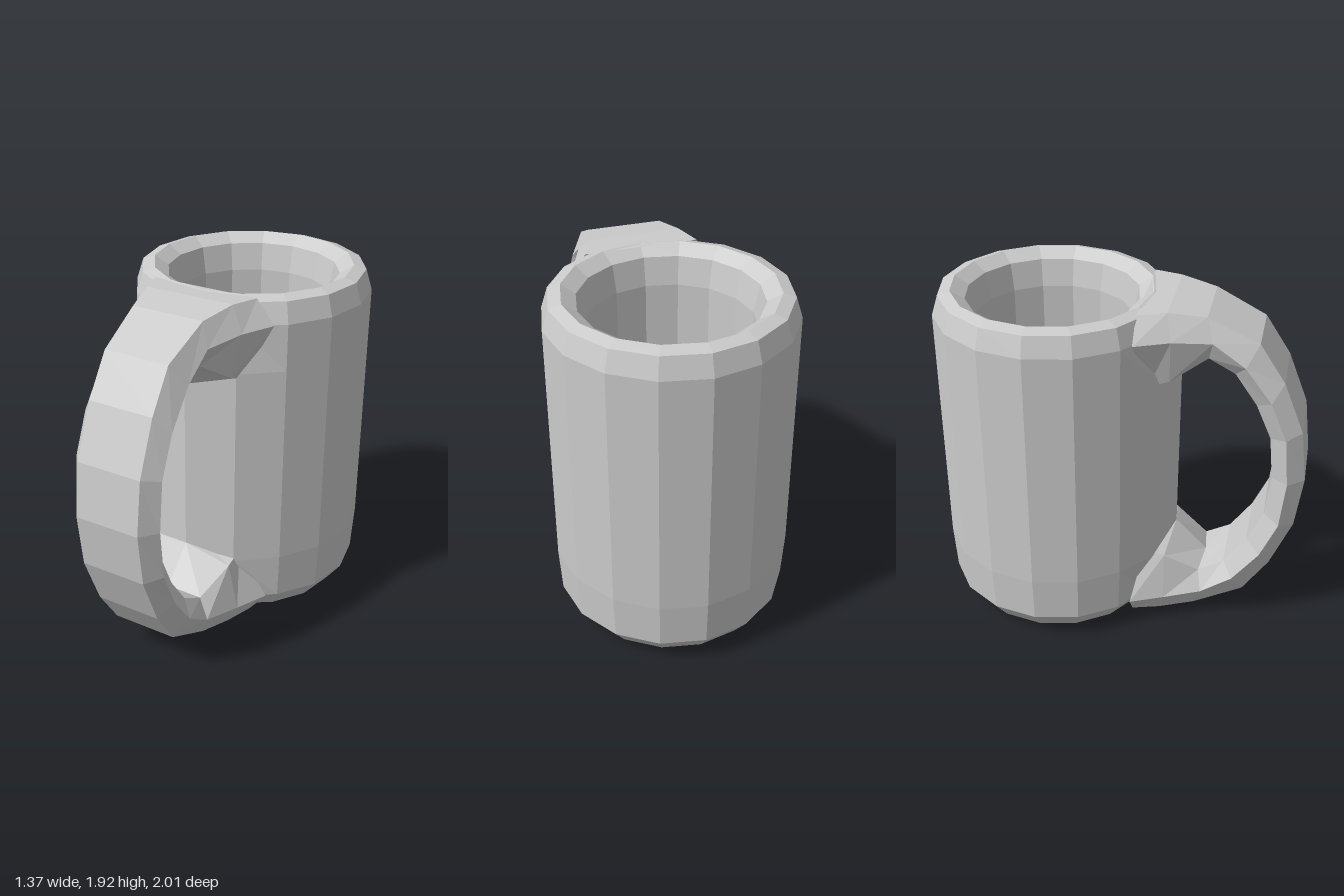
import * as THREE from 'three';

const SIDES = 16;
const STEP = (Math.PI * 2) / SIDES;
const MID_Y = 0.98; // height about which the handle is mirrored

const material = () => new THREE.MeshStandardMaterial({ color: 0xcccccc, flatShading: true, side: THREE.DoubleSide });

// Cup: underside, outer wall, rim, inner wall and rounded floor in one profile
function createCup() {
  const profile = [
    [0, 0], [0.3, 0.012], [0.54, 0.045], [0.625, 0.16], [0.64, 0.42], [0.64, MID_Y], [0.64, 1.54],
    [0.64, 1.79], [0.605, 1.9], [0.54, 1.92], [0.465, 1.87], [0.435, 1.72],
    [0.435, 0.5], [0.37, 0.3], [0.22, 0.2], [0, 0.16],
  ].map(([r, y]) => new THREE.Vector2(r, y));
  const geometry = new THREE.LatheGeometry(profile, SIDES);

  // Slight bulge of the outer wall behind the handle
  const pos = geometry.attributes.position;
  for (let i = 0; i < pos.count; i++) {
    const x = pos.getX(i), y = pos.getY(i), z = pos.getZ(i);
    const r = Math.hypot(x, z);
    const columns = Math.round(Math.abs(Math.atan2(x, z) - STEP) / STEP);
    if (r > 0.63 && y > 0.3 && y < 1.7 && columns < 2) {
      const k = (r + (columns === 0 ? 0.06 : 0.03)) / r;
      pos.setXYZ(i, x * k, y, z * k);
    }
  }
  geometry.computeVertexNormals();
  const mesh = new THREE.Mesh(geometry, material());
  mesh.name = 'cup';
  return mesh;
}

// Handle: faceted loop, upper half listed, lower half mirrored
function createHandle() {
  // outer edge, widest edge, inner edge (reach, height, half width), inner centre (reach, height)
  const upper = [
    [[0.5, 1.915, 0.3], [0.5, 1.79, 0.4], [0.56, 1.5, 0.26], [0.6, 1.44]],
    [[0.65, 1.92, 0.25], [0.68, 1.79, 0.32], [0.67, 1.54, 0.256], [0.7, 1.46]],
    [[0.845, 1.89, 0.2], [0.883, 1.77, 0.25], [0.86, 1.66, 0.19], [0.88, 1.64]],
    [[1.116, 1.76, 0.18], [1.056, 1.65, 0.25], [1.0, 1.58, 0.18], [1.0, 1.58]],
    [[1.256, 1.55, 0.18], [1.2, 1.46, 0.25], [1.12, 1.41, 0.18], [1.12, 1.41]],
    [[1.37, 1.27, 0.18], [1.29, 1.25, 0.25], [1.205, 1.22, 0.18], [1.205, 1.22]],
    [[1.406, MID_Y, 0.18], [1.316, MID_Y, 0.25], [1.23, MID_Y, 0.18], [1.23, MID_Y]],
  ];
  const flip = (station) => station.map(([u, y, w]) => [u, 2 * MID_Y - y, w]);
  const stations = [...upper, ...upper.slice(0, -1).reverse().map(flip)];

  const points = [], index = [], N = 7;
  for (const [outer, wide, inner, centre] of stations) {
    const add = ([u, y, w], side) => points.push(side ? side * w : 0, y, u);
    add(outer, -1); add(outer, 1); add(wide, 1); add(inner, 1);
    add(centre, 0); add(inner, -1); add(wide, -1);
  }
  for (let s = 0; s < stations.length - 1; s++) {
    for (let i = 0; i < N; i++) {
      const j = (i + 1) % N;
      const a = s * N + i, b = a + N, c = (s + 1) * N + j, d = s * N + j;
      index.push(a, b, c, a, c, d);
    }
  }
  const geometry = new THREE.BufferGeometry();
  geometry.setAttribute('position', new THREE.Float32BufferAttribute(points, 3));
  geometry.setIndex(index);
  geometry.computeVertexNormals();
  const mesh = new THREE.Mesh(geometry, material());
  mesh.name = 'handle';
  mesh.rotation.y = STEP;
  return mesh;
}

export function createModel() {
  const model = new THREE.Group();
  model.name = 'mug';
  const body = new THREE.Group();
  body.name = 'mugBody';
  body.add(createCup(), createHandle());
  body.position.set(-0.06, 0, -0.36);
  model.add(body);
  return model;
}
